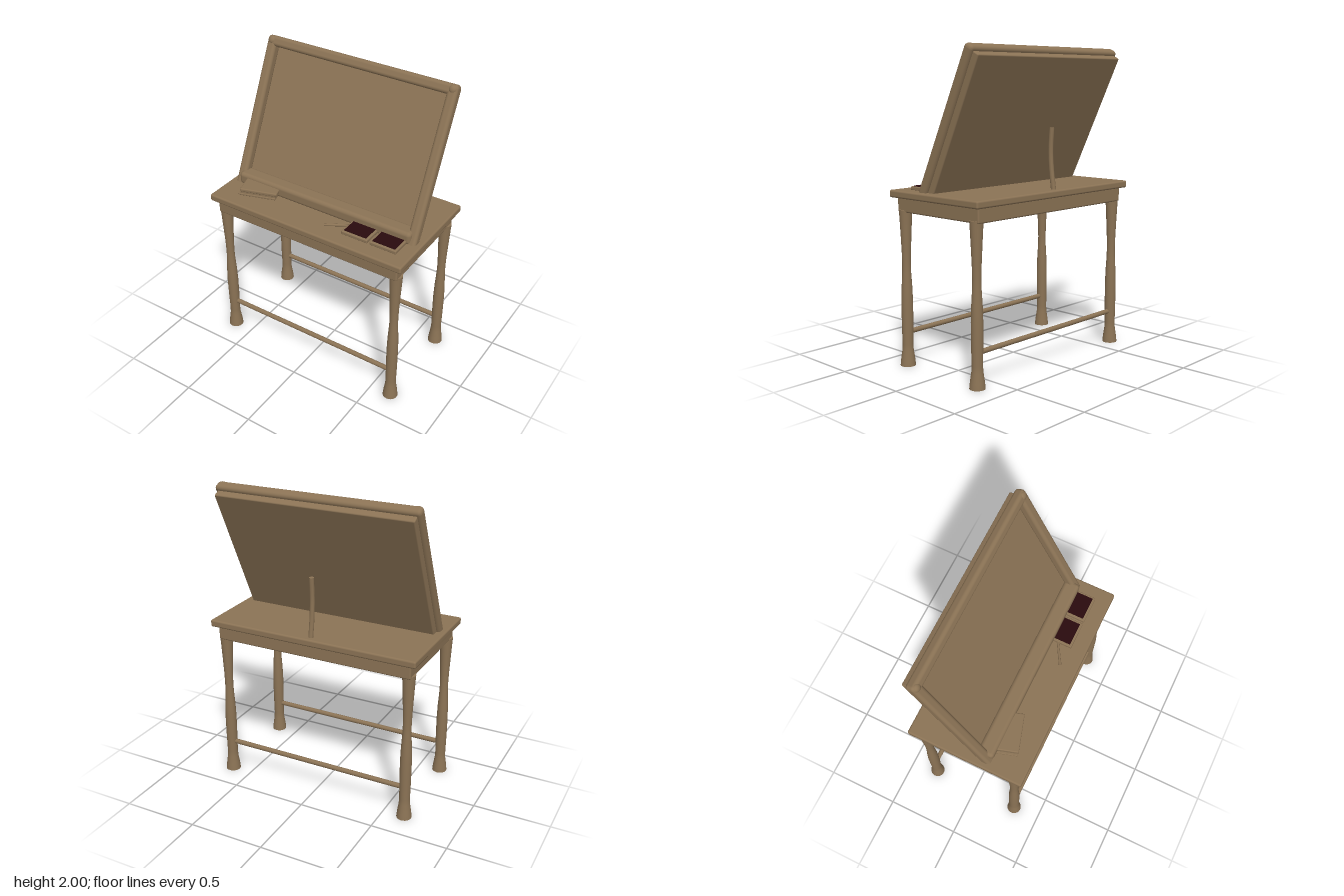
import * as THREE from 'three';
import { RoundedBoxGeometry } from 'three/addons/geometries/RoundedBoxGeometry.js';

export function createModel() {
  const wood = new THREE.MeshStandardMaterial({ color: 0x8b7355 });
  wood.name = 'wood';
  const dark = new THREE.MeshStandardMaterial({ color: 0x2a0b0e });
  dark.name = 'dark pigment';

  const model = new THREE.Group();
  model.name = 'writingDesk';

  const add = (parent, name, geometry, x, y, z, material = wood) => {
    const mesh = new THREE.Mesh(geometry, material);
    mesh.name = name;
    mesh.position.set(x, y, z);
    parent.add(mesh);
    return mesh;
  };
  const slab = (w, h, d, r) => new RoundedBoxGeometry(w, h, d, 3, r);

  // Table top and apron
  add(model, 'tableTop', slab(1.42, 0.047, 0.78, 0.012), 0, 1.1, 0);
  add(model, 'apron', slab(1.34, 0.1, 0.716, 0.01), 0, 1.035, 0);

  // Turned legs
  const profile = [
    [0.049, 0], [0.045, 0.04], [0.036, 0.1], [0.034, 0.14], [0.036, 0.25], [0.037, 0.4],
    [0.034, 0.5], [0.028, 0.6], [0.027, 0.66], [0.029, 0.74], [0.034, 0.85], [0.039, 0.95], [0.042, 1.0],
  ].map(([r, y]) => new THREE.Vector2(r, y));
  profile.unshift(new THREE.Vector2(0, 0), new THREE.Vector2(0.049, 0));
  profile.push(new THREE.Vector2(0.042, 1.0), new THREE.Vector2(0, 1.0));
  const legGeometry = new THREE.LatheGeometry(profile, 20);
  for (const z of [0.314, -0.314]) {
    const row = z > 0 ? 'front' : 'back';
    for (const side of [1, -1]) {
      add(model, row + (side > 0 ? 'LeftLeg' : 'RightLeg'), legGeometry, side * 0.643, 0, z);
    }
    const bar = add(model, row + 'Stretcher', new THREE.CylinderGeometry(0.016, 0.016, 1.27, 14), 0, 0.217, z);
    bar.rotation.z = Math.PI / 2;
  }

  // Tilted board: its origin is the centre of the side bars' lower ends
  const board = new THREE.Group();
  board.name = 'tiltedBoard';
  board.position.set(0, 1.075, 0.148);
  board.rotation.x = -0.444;
  model.add(board);
  const top = 0.985;
  add(board, 'panel', slab(1.31, 0.965, 0.05, 0.008), 0, 0.508, -0.054);
  add(board, 'topBar', slab(1.35, 0.066, 0.068, 0.022), 0, top, 0);
  for (const side of [1, -1]) {
    add(board, side > 0 ? 'leftBar' : 'rightBar', slab(0.066, 1.015, 0.068, 0.022), side * 0.643, 0.5075, 0);
    const peg = add(board, 'cornerPeg', new THREE.SphereGeometry(0.027, 16, 12), side * 0.643, top + 0.003, 0.022);
    peg.scale.z = 0.75;
  }

  // Ledge along the foot of the board
  add(model, 'ledge', slab(1.285, 0.085, 0.105, 0.025), 0, 1.157, 0.115);

  // Curved support behind the board
  const propCurve = new THREE.CatmullRomCurve3([
    new THREE.Vector3(0, 1.12, -0.343),
    new THREE.Vector3(0, 1.24, -0.326),
    new THREE.Vector3(0, 1.36, -0.318),
    new THREE.Vector3(0, 1.505, -0.326),
  ]);
  add(model, 'prop', new THREE.TubeGeometry(propCurve, 12, 0.016, 8), 0, 0, 0);
  const propEnd = add(model, 'propEnd', new THREE.CircleGeometry(0.016, 8), 0, 1.505, -0.326);
  propEnd.rotation.x = -Math.PI / 2;

  // Closed book turned on the table
  const book = new THREE.Group();
  book.name = 'book';
  book.position.set(-0.443, 1.123, 0.178);
  book.rotation.y = 0.302;
  model.add(book);
  add(book, 'lowerCover', slab(0.25, 0.014, 0.165, 0.004), -0.012, 0.008, -0.004);
  add(book, 'pages', new THREE.BoxGeometry(0.235, 0.02, 0.15), -0.006, 0.022, -0.002);
  add(book, 'upperCover', slab(0.25, 0.024, 0.165, 0.008), 0, 0.042, 0);

  // Two shallow trays with dark contents
  for (const x of [0.328, 0.528]) {
    add(model, 'tray', slab(0.184, 0.024, 0.19, 0.006), x, 1.133, 0.195);
    add(model, 'trayFill', new THREE.BoxGeometry(0.155, 0.006, 0.16), x, 1.147, 0.195, dark);
  }

  // Pen lying beside the trays
  const pen = add(model, 'pen', new THREE.CylinderGeometry(0.009, 0.007, 0.16, 8), 0.173, 1.131, 0.235);
  pen.rotation.set(0, Math.PI / 6, Math.PI / 2, 'YXZ');

  return model;
}
